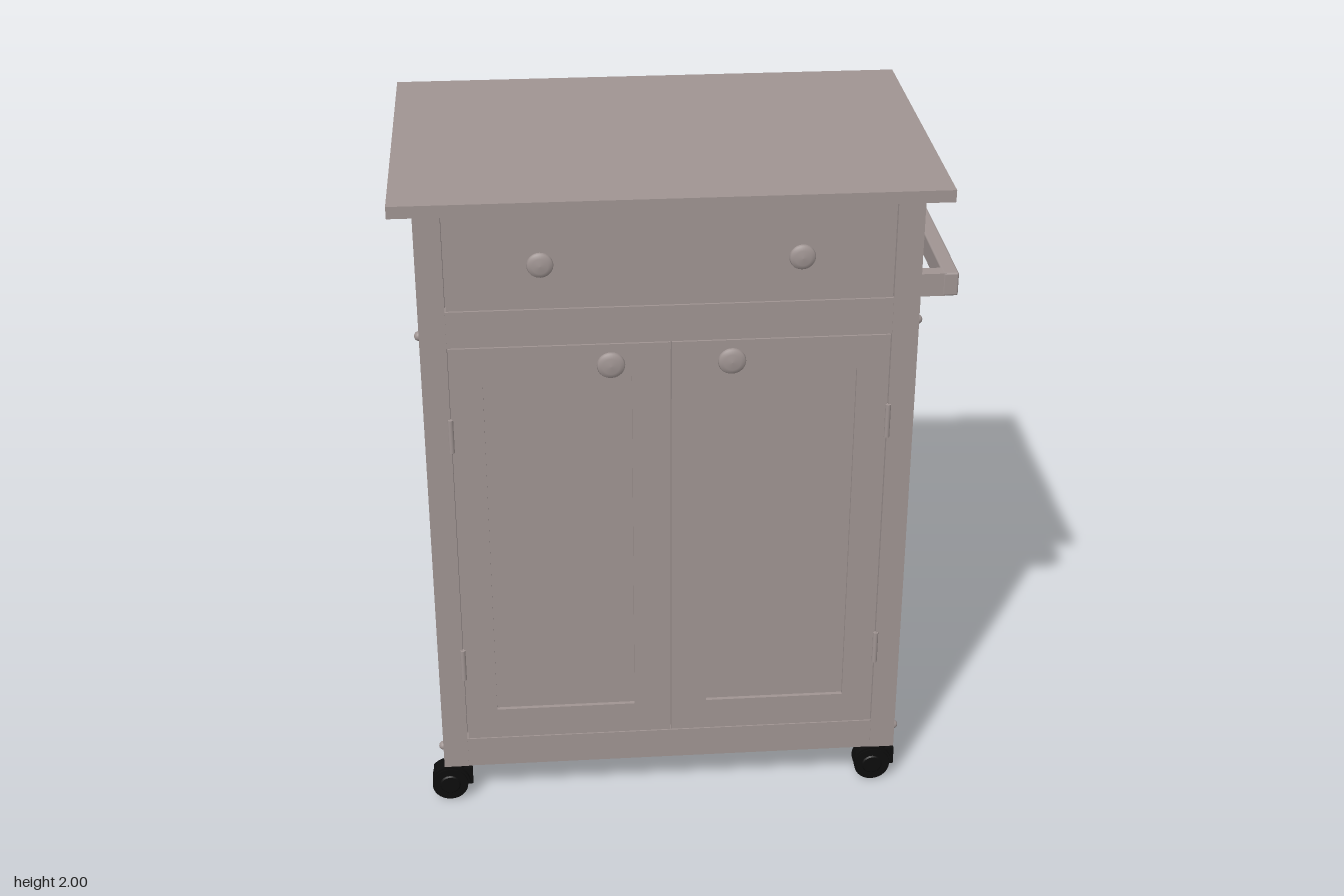
import * as THREE from 'three';
import { RoundedBoxGeometry } from 'three/addons/geometries/RoundedBoxGeometry.js';

export function createModel() {
  const model = new THREE.Group();
  const wood = new THREE.MeshStandardMaterial({ name: 'taupe paint', color: 0x9f9492 });
  const black = new THREE.MeshStandardMaterial({ name: 'black rubber', color: 0x0c0c0c });

  const add = (name, geometry, material, parent = model) => {
    const mesh = new THREE.Mesh(geometry, material);
    mesh.name = name;
    parent.add(mesh);
    return mesh;
  };
  // Box given by its limits on each axis
  const box = (name, [x0, x1], [y0, y1], [z0, z1], parent = model, material = wood) => {
    const m = add(name, new THREE.BoxGeometry(x1 - x0, y1 - y0, z1 - z0), material, parent);
    m.position.set((x0 + x1) / 2, (y0 + y1) / 2, (z0 + z1) / 2);
    return m;
  };

  const L = -0.725, R = 0.675, F = 0.452, B = -0.468; // cabinet limits
  const IL = -0.65, IR = 0.6, IF = 0.375, IB = -0.395; // inner edges of the posts
  const Y0 = 0.12, Y1 = 1.965;

  // Worktop and corner posts
  box('worktop', [-0.79, 0.745], [Y1, 2], [-0.512, 0.508]);
  for (const x of [[L, IL], [IR, R]])
    for (const z of [[B, IB], [IF, F]]) box('cornerPost', x, [Y0, Y1], z);

  // Side panels with bottom rails
  for (const [edge, s] of [[L, 1], [R, -1]]) {
    const span = (a, b) => [edge + s * a, edge + s * b].sort((p, q) => p - q);
    box('sidePanel', span(0.015, 0.035), [0.22, Y1], [IB, IF]);
    box('sideRail', span(0.01, 0.04), [Y0, 0.22], [IB, IF]);
  }

  // Back panel, its rails and the floor
  box('backPanel', [IL, IR], [0.19, 1.9], [B + 0.006, B + 0.026]);
  box('backTopRail', [IL, IR], [1.9, Y1], [B, B + 0.03]);
  box('backBottomRail', [IL, IR], [Y0, 0.19], [B, B + 0.03]);
  box('floor', [L + 0.03, R - 0.03], [Y0 + 0.008, 0.15], [B + 0.02, F - 0.02]);

  // Front rails and drawer, with narrow gaps around the moving fronts
  const g = 0.003;
  box('frontBottomRail', [IL, IR], [Y0, 0.22], [0.41, F - 0.002]);
  box('frontMiddleRail', [IL, IR], [1.55, 1.66], [0.41, F - 0.002]);
  box('drawerFront', [IL + g, IR - g], [1.66 + g, Y1 - g], [0.41, F - 0.002]);
  box('frontBacking', [IL, IR], [Y0, Y1], [0.395, 0.41]);

  // Framed doors
  for (const [a, b, pa, pb] of [[IL + g, -0.024 - g / 2, -0.555, -0.135], [-0.024 + g / 2, IR - g, 0.085, 0.505]]) {
    const door = new THREE.Group();
    door.name = 'door';
    model.add(door);
    const z = [0.412, F - 0.002];
    box('doorStile', [a, pa], [0.22 + g, 1.55 - g], z, door);
    box('doorStile', [pb, b], [0.22 + g, 1.55 - g], z, door);
    box('doorTopRail', [pa, pb], [1.445, 1.55 - g], z, door);
    box('doorBottomRail', [pa, pb], [0.22 + g, 0.325], z, door);
    box('doorPanel', [pa, pb], [0.325, 1.445], [0.412, 0.438], door);
  }

  // Turned knobs
  const knobProfile = [[0.016, 0], [0.013, 0.006], [0.012, 0.014], [0.022, 0.018], [0.034, 0.022],
    [0.037, 0.028], [0.034, 0.034], [0.022, 0.039], [0, 0.041]].map(([r, y]) => new THREE.Vector2(r, y));
  const knobGeometry = new THREE.LatheGeometry(knobProfile, 28).rotateX(Math.PI / 2);
  for (const [x, y, s] of [[-0.385, 1.805, 1], [0.335, 1.805, 1], [-0.195, 1.495, 1.08], [0.145, 1.495, 1.08]]) {
    const knob = add('knob', knobGeometry, wood);
    knob.position.set(x, y, F - 0.003);
    knob.scale.set(s, s, 1);
  }

  // Hinge barrels
  for (const x of [IL, IR]) for (const y of [1.275, 0.495]) {
    const hinge = add('hinge', new THREE.CylinderGeometry(0.008, 0.008, 0.105, 14), wood);
    hinge.position.set(x, y, F);
  }

  // Towel bar on two arms
  const rail = new THREE.Group();
  rail.name = 'towelRail';
  model.add(rail);
  const bar = add('towelBar', new RoundedBoxGeometry(0.045, 0.07, 0.887, 2, 0.006), wood, rail);
  bar.position.set(0.7635, 1.685, -0.0155);
  for (const z of [[0.385, 0.427], [-0.458, -0.416]]) box('towelBarArm', [0.66, 0.75], [1.651, 1.719], z, rail);

  // Domed screw heads on the side posts
  const screwGeometry = new THREE.SphereGeometry(0.014, 14, 6, 0, Math.PI * 2, 0, Math.PI / 2);
  for (const [x, s] of [[L, 1], [R, -1]])
    for (const [y, z] of [[1.9, -0.447], [0.185, -0.447], [1.58, 0.424], [0.185, 0.427]]) {
      const screw = add('screwHead', screwGeometry, wood);
      screw.position.set(x, y, z);
      screw.rotation.z = s * Math.PI / 2;
    }

  // Twin-wheel casters
  const wheelGeometry = new THREE.CylinderGeometry(0.055, 0.055, 0.021, 28).rotateX(Math.PI / 2);
  const hubGeometry = new THREE.CylinderGeometry(0.028, 0.034, 0.006, 20).rotateX(Math.PI / 2);
  const hoodShape = new THREE.Shape();
  hoodShape.absarc(0, 0, 0.062, 0.1, 2.5, false);
  hoodShape.absarc(0, 0, 0.056, 2.5, 0.1, true);
  const hoodGeometry = new THREE.ExtrudeGeometry(hoodShape, { depth: 0.054, bevelEnabled: false, curveSegments: 16 });
  hoodGeometry.translate(0, 0, -0.027);
  for (const x of [-0.71, 0.61]) for (const z of [0.425, -0.418]) {
    const caster = new THREE.Group();
    caster.name = 'caster';
    caster.position.set(x, 0.055, z);
    model.add(caster);
    for (const s of [-1, 1]) {
      add('wheel', wheelGeometry, black, caster).position.z = s * 0.0195;
      const hub = add('wheelHub', hubGeometry, black, caster);
      hub.position.z = s * 0.031;
      if (s < 0) hub.rotation.y = Math.PI;
    }
    add('wheelHood', hoodGeometry, black, caster);
    box('casterBody', [0, 0.07], [-0.012, 0.046], [-0.014, 0.014], caster, black);
    const stem = add('casterStem', new THREE.CylinderGeometry(0.012, 0.012, 0.05, 14), black, caster);
    stem.position.set(0.034, 0.05, 0);
  }

  return model;
}
